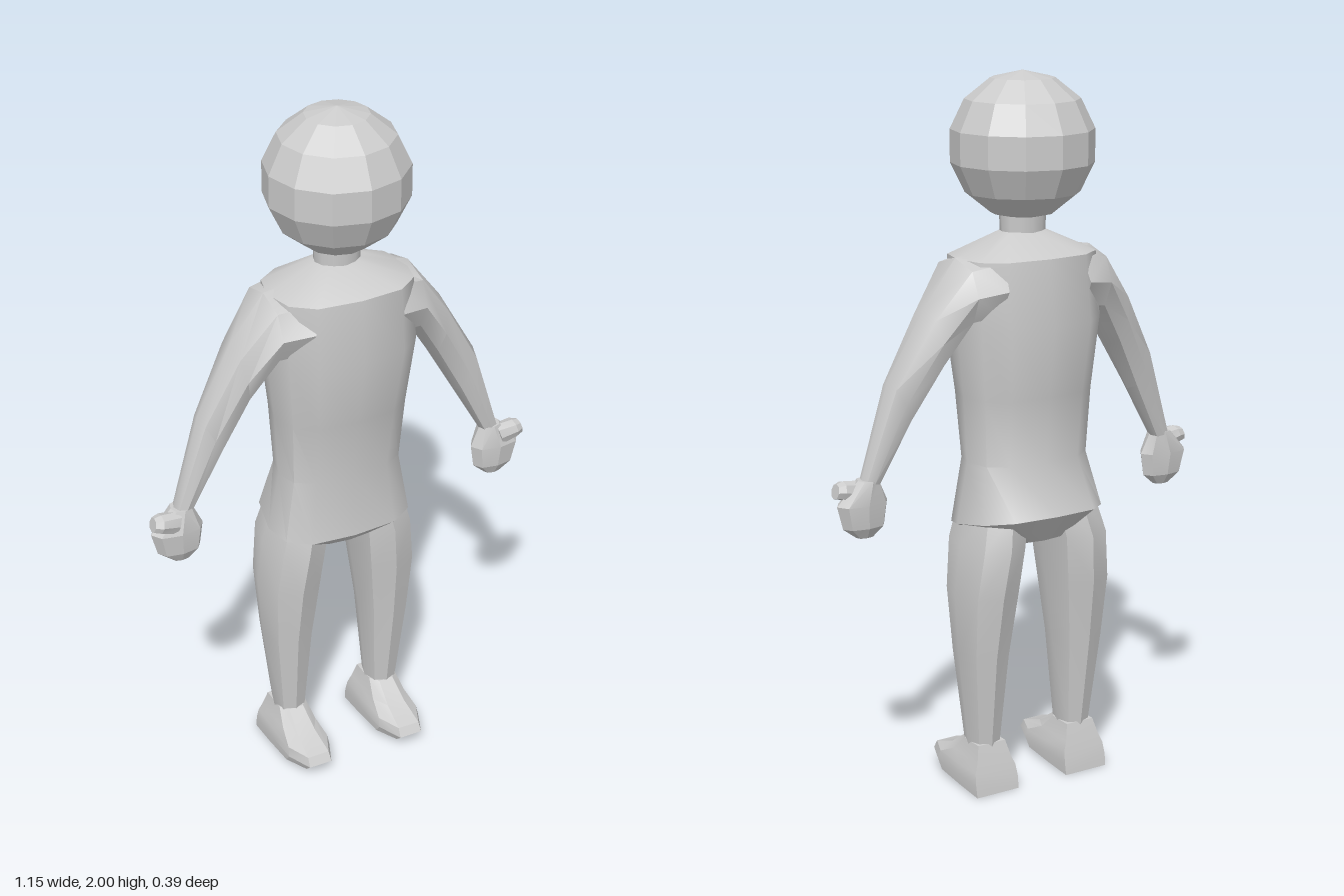
import * as THREE from 'three';
import { toCreasedNormals } from 'three/addons/utils/BufferGeometryUtils.js';

const material = new THREE.MeshStandardMaterial({ color: 0xcccccc });
const flatMaterial = new THREE.MeshStandardMaterial({ color: 0xcccccc, flatShading: true });

// Unit cross-sections as [u, v] pairs
const limbSection = [[1, 0], [0.74, 0.74], [0, 1], [-0.74, 0.74], [-1, 0], [-0.74, -0.74], [0, -1], [0.74, -0.74]];
const torsoSection = [
  [1, 0], [0.9, 0.6], [0.6, 0.92], [0, 1], [-0.6, 0.92], [-0.9, 0.6],
  [-1, 0], [-0.9, -0.6], [-0.6, -0.92], [0, -1], [0.6, -0.92], [0.9, -0.6],
];
// Foot outline: u across, v from heel (0) to toe (1)
const footSection = [[1, 0], [1, 0.35], [0.95, 0.74], [0.5, 1], [-0.5, 1], [-0.95, 0.74], [-1, 0.35], [-1, 0]];

// Joins rings of points into a closed skin with capped ends
function loft(name, rings, crease = 0.6) {
  const n = rings[0].length;
  const points = rings.flat();
  const faces = [];
  for (let r = 0; r < rings.length - 1; r++) {
    for (let i = 0; i < n; i++) {
      const a = r * n + i, b = r * n + (i + 1) % n;
      faces.push([a, b, b + n], [a, b + n, a + n]);
    }
  }
  const last = (rings.length - 1) * n;
  for (let i = 1; i < n - 1; i++) {
    faces.push([0, i + 1, i], [last, last + i, last + i + 1]);
  }
  // Turn the faces outward, whichever way the rings run
  const v = points.map((p) => new THREE.Vector3(...p));
  const cross = new THREE.Vector3();
  let volume = 0;
  for (const [a, b, c] of faces) volume += v[a].dot(cross.crossVectors(v[b], v[c]));
  if (volume < 0) faces.forEach((f) => f.reverse());

  const geometry = new THREE.BufferGeometry();
  geometry.setAttribute('position', new THREE.Float32BufferAttribute(points.flat(), 3));
  geometry.setIndex(faces.flat());
  const mesh = new THREE.Mesh(toCreasedNormals(geometry, crease), material);
  mesh.name = name;
  return mesh;
}

// Level ring from x and z limits
function levelRing(y, x0, x1, front, back) {
  return limbSection.map(([u, v]) => [
    (x0 + x1) / 2 + u * (x1 - x0) / 2, y, (front + back) / 2 + v * (front - back) / 2,
  ]);
}

// Slanted ring between an outer and an inner point in the xy plane
function slantRing([ox, oy, ix, iy, front, back]) {
  return limbSection.map(([u, v]) => [
    (ox + ix) / 2 + u * (ox - ix) / 2,
    (oy + iy) / 2 + u * (oy - iy) / 2,
    (front + back) / 2 + v * (front - back) / 2,
  ]);
}

export function createModel() {
  const model = new THREE.Group();

  // Head: faceted ball
  const head = new THREE.Mesh(new THREE.SphereGeometry(0.2, 12, 7), flatMaterial);
  head.name = 'head';
  head.position.y = 1.8;
  model.add(head);

  // Neck
  const neck = new THREE.Mesh(new THREE.CylinderGeometry(0.068, 0.064, 0.09, 12), material);
  neck.name = 'neck';
  neck.position.y = 1.59;
  neck.scale.z = 0.8;
  model.add(neck);

  // Torso: y, half width, front z, back z, tilt (raises the back of the hem)
  const torso = [
    [0.72, 0.1, 0.08, -0.11, 0],
    [0.775, 0.213, 0.114, -0.18, 0.17],
    [0.945, 0.18, 0.1, -0.12, 0],
    [1.13, 0.19, 0.128, -0.135, 0],
    [1.33, 0.21, 0.163, -0.16, 0],
    [1.51, 0.205, 0.148, -0.135, 0],
    [1.572, 0.065, 0.048, -0.048, 0],
  ].map(([y, w, front, back, tilt]) => torsoSection.map(([u, v]) => {
    const z = v > 0 ? v * front : -v * back;
    return [u * w, y - z * tilt, z];
  }));
  model.add(loft('torso', torso, 0.75));

  for (const [side, s] of [['left', 1], ['right', -1]]) {
    const add = (part, rings, crease) => model.add(
      loft(side + part, rings.map((ring) => ring.map(([x, y, z]) => [s * x, y, z])), crease));

    // Arm: outer x, y, inner x, y, front z, back z
    add('Arm', [
      [0.12, 1.53, 0.14, 1.34, 0.14, -0.14],
      [0.215, 1.515, 0.21, 1.33, 0.115, -0.12],
      [0.315, 1.385, 0.28, 1.22, 0.075, -0.08],
      [0.42, 1.2, 0.36, 1.08, 0.06, -0.04],
      [0.5, 0.94, 0.45, 0.925, 0.045, -0.015],
    ].map(slantRing), 0.75);

    // Fist
    add('Hand', [
      levelRing(0.94, 0.45, 0.51, 0.048, -0.015),
      levelRing(0.875, 0.42, 0.572, 0.062, -0.02),
      levelRing(0.81, 0.43, 0.555, 0.055, -0.012),
      levelRing(0.78, 0.465, 0.515, 0.04, 0.005),
    ], 0.3);

    // Thumb stub on the outer side of the fist
    add('Thumb', [
      [0.49, 0.935, 0.51, 0.87, 0.06, 0.005],
      [0.545, 0.94, 0.555, 0.89, 0.066, 0.005],
      [0.565, 0.935, 0.575, 0.895, 0.055, 0.012],
    ].map(slantRing), 0.3);

    // Leg
    add('Leg', [
      levelRing(0.82, 0.03, 0.195, 0.09, -0.13),
      levelRing(0.72, 0.045, 0.222, 0.102, -0.155),
      levelRing(0.58, 0.06, 0.238, 0.086, -0.138),
      levelRing(0.4, 0.083, 0.226, 0.062, -0.11),
      levelRing(0.13, 0.105, 0.195, 0.032, -0.075),
    ], 0.75);

    // Foot: y, half width, heel z, toe z, toe lift
    add('Foot', [
      [0, 0.068, -0.105, 0.165, 0.02],
      [0.035, 0.069, -0.1, 0.19, 0.008],
      [0.068, 0.066, -0.092, 0.175, 0],
      [0.095, 0.055, -0.085, 0.095, 0],
      [0.14, 0.044, -0.072, 0.03, 0],
    ].map(([y, w, heel, toe, lift]) => footSection.map(([u, v]) => [
      0.149 + u * w, y + lift * v, heel + (toe - heel) * v,
    ])), 0.4);
  }
  return model;
}
